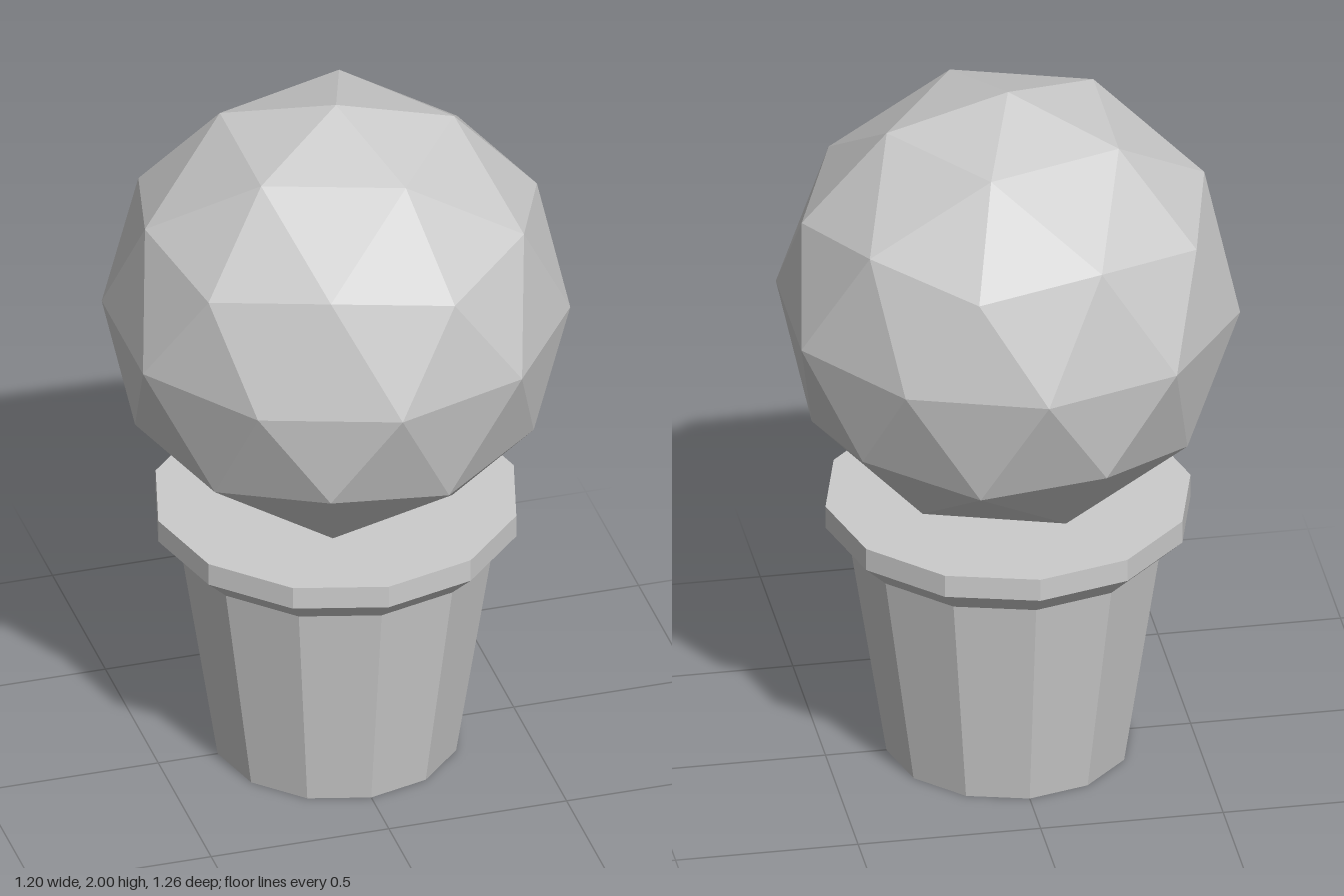
import * as THREE from 'three';

export function createModel() {
  const group = new THREE.Group();
  const grey = new THREE.MeshStandardMaterial({ color: 0xcccccc });
  grey.name = 'light grey';
  grey.flatShading = true;

  const add = (name, geometry) => {
    const mesh = new THREE.Mesh(geometry, grey);
    mesh.name = name;
    group.add(mesh);
    return mesh;
  };

  // Twelve-sided profile turned around the y axis, with a corner at the front
  const turned = (profile) =>
    new THREE.LatheGeometry(profile.map(([r, y]) => new THREE.Vector2(r, y)), 12).toNonIndexed();

  // Pot: tapered body with a closed base
  add('potBody', turned([[0, 0], [0.333, 0], [0.432, 0.637]]));

  // Rim: flared underside, upright band and flat soil-level top
  add('potRim', turned([[0.432, 0.637], [0.5, 0.703], [0.5, 0.768], [0, 0.768]]));

  // Foliage: faceted ball standing on one of its icosahedron corners
  const radius = 0.632;
  const ball = new THREE.IcosahedronGeometry(radius, 1);
  ball.rotateZ(-Math.atan(2 / (1 + Math.sqrt(5))));
  add('foliageBall', ball).position.y = 2 - radius;

  return group;
}
